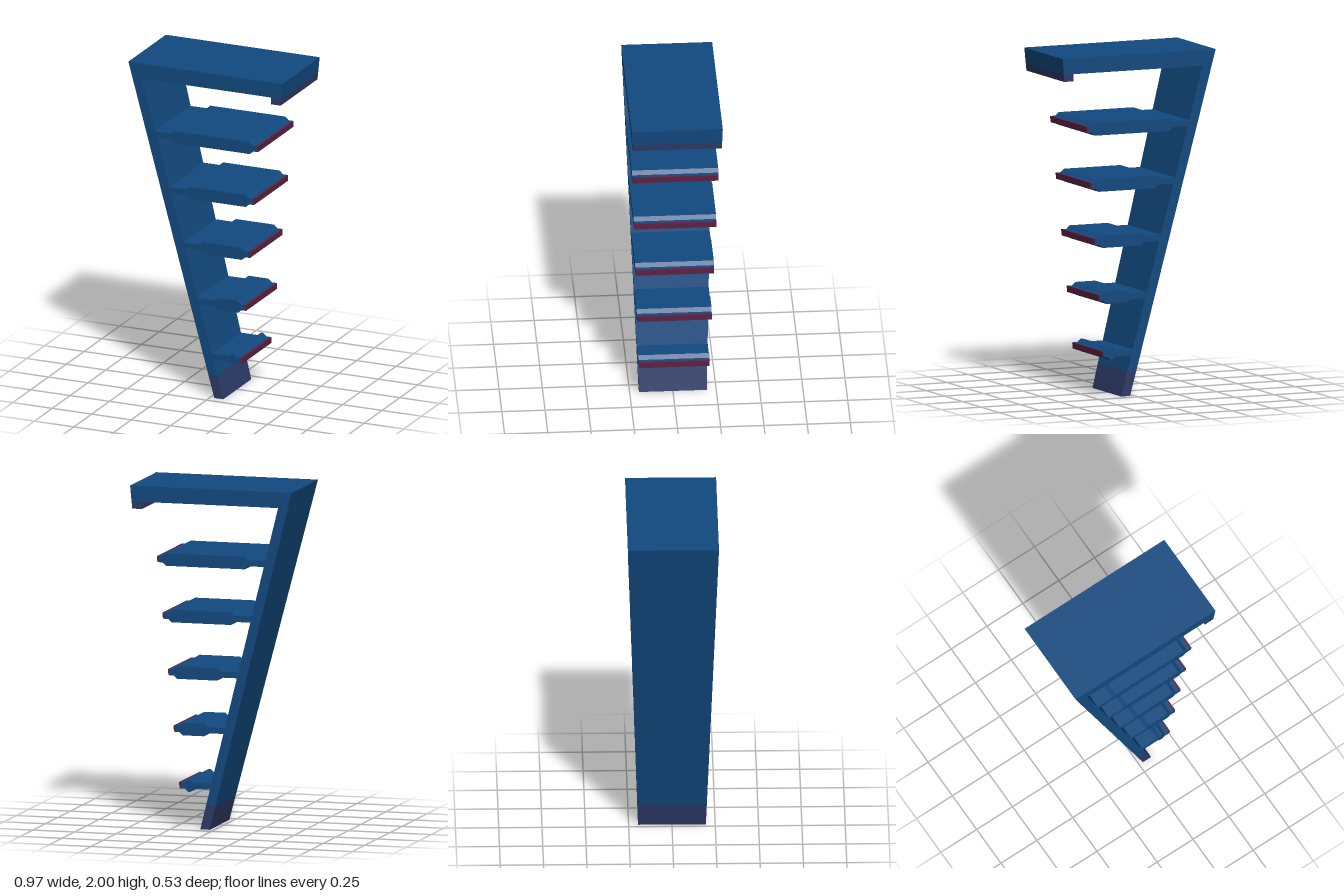
import * as THREE from 'three';

const blue = new THREE.MeshStandardMaterial({ color: 0x124a80 });
const dusk = new THREE.MeshStandardMaterial({ color: 0x2e3a68 });
const plum = new THREE.MeshStandardMaterial({ color: 0x5e2444 });

// Half depth of the whole piece widens with height
const halfDepth = (y) => 0.196 + 0.0335 * y;
// Sloping faces of the spine
const outerX = (y) => 0.026 - 0.257 * y;
const innerX = (y) => 0.083 - 0.256 * y;

// Extrudes an x/y outline along z and tapers it to the common depth
function slab(name, outline, material) {
  const shape = new THREE.Shape(outline.map(([x, y]) => new THREE.Vector2(x, y)));
  const geometry = new THREE.ExtrudeGeometry(shape, { depth: 2, bevelEnabled: false });
  const p = geometry.attributes.position;
  for (let i = 0; i < p.count; i++) {
    p.setZ(i, (p.getZ(i) - 1) * halfDepth(p.getY(i)));
  }
  geometry.computeVertexNormals();
  const mesh = new THREE.Mesh(geometry, material);
  mesh.name = name;
  return mesh;
}

// Thin board with a thicker, chamfered middle
function shelf(y, padStart, padEnd, tip) {
  const group = new THREE.Group();
  const t = 0.018, h = 0.037, c = 0.022, cap = 0.012;
  const upper = [
    [tip - cap, t], [padEnd, t], [padEnd - c, h],
    [padStart + c, h], [padStart, t],
  ];
  const lower = upper.map(([x, dy]) => [x, -dy]).reverse();
  group.add(slab('shelfBoard', [
    ...upper.map(([x, dy]) => [x, y + dy]),
    [innerX(y + t) - 0.01, y + t],
    [innerX(y - t) - 0.01, y - t],
    ...lower.map(([x, dy]) => [x, y + dy]),
  ], blue));
  group.add(slab('shelfEdge', [
    [tip - cap, y - t], [tip - 0.002, y - t], [tip, y + t], [tip - cap, y + t],
  ], plum));
  return group;
}

export function createModel() {
  const model = new THREE.Group();
  model.name = 'leaningShelf';

  // Leaning spine and top board in one bent piece
  const cut = 0.14;
  model.add(slab('spineAndTop', [
    [outerX(cut), cut], [innerX(cut), cut], [innerX(1.907), 1.907],
    [0.415, 1.907], [0.478, 1.907], [0.486, 2], [-0.488, 2],
  ], blue));

  // Foot of the spine
  model.add(slab('foot', [
    [outerX(0), 0], [innerX(0), 0], [innerX(cut), cut], [outerX(cut), cut],
  ], dusk));

  // Lip hanging from the free end of the top board
  model.add(slab('topLip', [
    [0.415, 1.865], [0.474, 1.865], [0.478, 1.907], [0.415, 1.907],
  ], dusk));

  // Five shelves, each longer than the one below
  for (let i = 0; i < 5; i++) {
    const board = shelf(0.254 + 0.3303 * i, 0.12 - 0.0855 * i, 0.175 + 0.0302 * i, 0.208 + 0.03 * i);
    board.name = 'shelf' + (i + 1);
    model.add(board);
  }
  return model;
}
